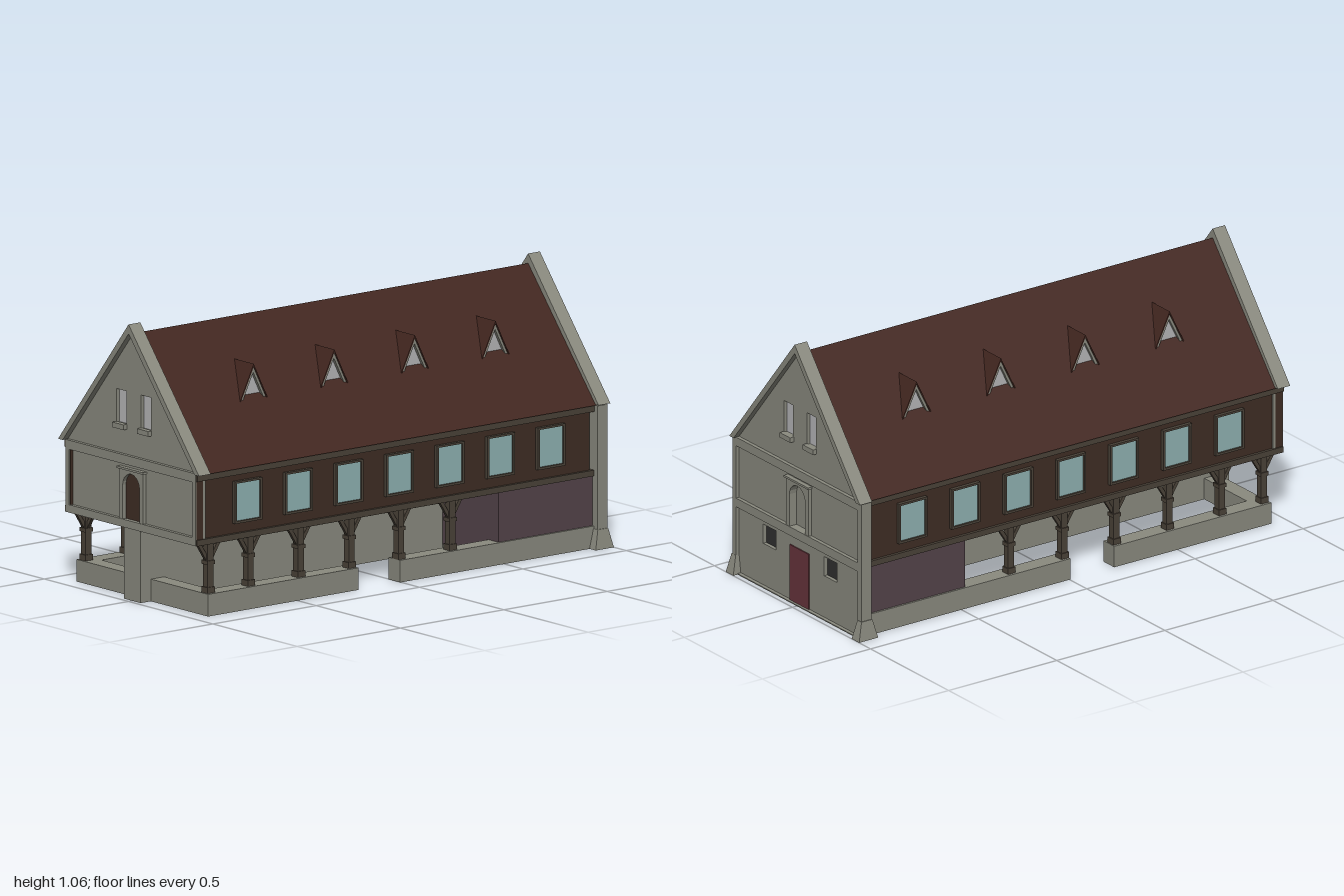
import * as THREE from 'three';

const mat = (color) => new THREE.MeshStandardMaterial({ color, flatShading: true });
const M = {
  stone: mat(0x8a8a7f), roof: mat(0x42261f), timber: mat(0x3f2d24), beam: mat(0x4a4238),
  glass: mat(0x8fb2b2), pale: mat(0xb6b6b8), dark: mat(0x303030), room: mat(0x54444a), door: mat(0x66343c),
};

function add(parent, name, geometry, material) {
  const mesh = new THREE.Mesh(geometry, material);
  mesh.name = name;
  parent.add(mesh);
  return mesh;
}

// box given by its min and max on each axis
function box(parent, name, material, x0, x1, y0, y1, z0, z1) {
  const m = add(parent, name, new THREE.BoxGeometry(Math.abs(x1 - x0), y1 - y0, Math.abs(z1 - z0)), material);
  m.position.set((x0 + x1) / 2, (y0 + y1) / 2, (z0 + z1) / 2);
  return m;
}

const poly = (pts) => pts.map(([x, y]) => new THREE.Vector2(x, y));
const rect = (x0, x1, y0, y1) => poly([[x0, y0], [x1, y0], [x1, y1], [x0, y1]]);
const tri = (w, y0, y1) => poly([[-w, y0], [w, y0], [0, y1]]);

// outline with holes, extruded from z = a to z = b
function slabZ(outline, holes, a, b) {
  const shape = new THREE.Shape(outline);
  holes.forEach((h) => shape.holes.push(new THREE.Path(h)));
  const g = new THREE.ExtrudeGeometry(shape, { depth: b - a, bevelEnabled: false });
  return g.translate(0, 0, a);
}
// the same along x; outlines are drawn as (z, y) and symmetric about z = 0
const slabX = (outline, holes, a, b) => slabZ(outline, holes, a, b).rotateY(Math.PI / 2);

// round-headed opening
function arch(w, y0, spring) {
  const pts = [[-w, y0], [w, y0]];
  for (let i = 0; i <= 10; i++) {
    const t = (i / 10) * Math.PI;
    pts.push([w * Math.cos(t), spring + w * Math.sin(t)]);
  }
  return poly(pts);
}

// square bar between two points
function bar(parent, name, a, b, size) {
  const p = new THREE.Vector3(...a), q = new THREE.Vector3(...b);
  const m = add(parent, name, new THREE.BoxGeometry(size, p.distanceTo(q), size), M.beam);
  m.position.copy(p).add(q).multiplyScalar(0.5);
  m.quaternion.setFromUnitVectors(new THREE.Vector3(0, 1, 0), q.sub(p).normalize());
}

// stone gable facing +x; full reaches the ground, otherwise only the upper floors
function gable(full) {
  const g = new THREE.Group();
  const bottom = full ? 0 : 0.277, w = full ? 0.413 : 0.386;
  const outline = poly([[-w, bottom], [w, bottom], [w, 0.55], [0.4, 0.55], [0, 1.036], [-0.4, 0.55], [-w, 0.55]]);
  const windows = [[0.044, 0.103], [-0.103, -0.044]];
  const hatches = full ? [[0.155, 0.236], [-0.236, -0.155]] : [];
  const niche = arch(0.05, 0.307, 0.437);
  add(g, 'gableCore', slabX(outline, [], 0.933, 0.945), M.stone);
  add(g, 'gableFace', slabX(outline, [
    ...windows.map(([a, b]) => rect(a, b, 0.668, 0.797)),
    ...hatches.map(([a, b]) => rect(a, b, 0.172, 0.25)), niche,
  ], 0.945, 0.965), M.stone);

  // raised piers and string courses around the panels
  const e = full ? 0.39 : 0.365;
  const panels = [rect(-e, e, 0.307, 0.52)];
  if (full) panels.push(rect(-e, e, 0.004, 0.272));
  add(g, 'gableFrame', slabX(rect(-w, w, bottom, 0.555), panels, 0.965, 0.98), M.stone);
  add(g, 'nicheSurround', slabX(rect(-0.072, 0.072, 0.3, 0.5), [niche], 0.965, 0.978), M.stone);
  box(g, 'nicheCap', M.stone, 0.965, 0.984, 0.499, 0.507, -0.078, 0.078);

  // coping along both rakes
  add(g, 'coping', slabX(
    poly([[-0.418, 0.553], [-0.391, 0.553], [0, 1.028], [0.391, 0.553], [0.418, 0.553], [0, 1.064]]),
    [], 0.933, 0.99), M.stone);

  for (const [a, b] of windows) {
    box(g, 'gableWindow', M.pale, 0.945, 0.95, 0.668, 0.797, a, b);
    box(g, 'windowSill', M.stone, 0.96, 0.982, 0.65, 0.67, a - 0.004, b + 0.004);
  }
  for (const [a, b] of hatches) box(g, 'smallWindow', M.dark, 0.945, 0.95, 0.172, 0.25, a, b);

  if (full) {
    box(g, 'door', M.door, 0.95, 0.97, 0.002, 0.228, -0.06, 0.06);
    // flared pier feet
    for (const s of [1, -1]) {
      const geo = new THREE.BoxGeometry(0.05, 0.075, 0.026);
      const p = geo.attributes.position;
      for (let i = 0; i < p.count; i++) {
        if (p.getY(i) < 0) p.setXYZ(i, p.getX(i) * 1.76, p.getY(i), p.getZ(i) * 1.85);
      }
      geo.computeVertexNormals();
      add(g, 'pierFoot', geo, M.stone).position.set(0.956, 0.0375, s * 0.403);
    }
  }
  return g;
}

// triangular dormer facing +z or -z
function dormer(x, s) {
  const g = new THREE.Group();
  g.name = 'dormer';
  add(g, 'dormerRoof', slabZ(tri(0.072, 0.745, 0.893), [tri(0.064, 0.751, 0.882)], 0.06, 0.228), M.roof);
  add(g, 'dormerFrame', slabZ(tri(0.064, 0.751, 0.882), [tri(0.049, 0.76, 0.86)], 0.2, 0.225), M.stone);
  add(g, 'dormerPane', slabZ(tri(0.06, 0.752, 0.878), [], 0.2, 0.212), M.pale);
  g.position.x = x;
  if (s < 0) g.rotation.y = Math.PI;
  return g;
}

// arcade post with spreading braces
function post(x, s, corner) {
  const g = new THREE.Group();
  g.name = 'post';
  box(g, 'postShaft', M.beam, -0.014, 0.014, 0.085, 0.28, -0.014, 0.014);
  box(g, 'postBase', M.beam, -0.018, 0.018, 0.085, 0.108, -0.018, 0.018);
  box(g, 'postCollar', M.beam, -0.018, 0.018, 0.195, 0.21, -0.018, 0.018);
  for (const d of [1, -1]) bar(g, 'brace', [0, 0.2, 0], [d * 0.05, 0.28, 0], 0.014);
  if (corner) bar(g, 'brace', [0, 0.2, 0], [0, 0.28, -s * 0.05], 0.014);
  g.position.set(x, 0, s * 0.362);
  return g;
}

export function createModel() {
  const model = new THREE.Group();
  model.name = 'hall';

  const right = gable(true);
  right.name = 'rightGable';
  const left = gable(false);
  left.name = 'leftGable';
  left.rotation.y = Math.PI;
  left.position.x = -0.01;
  model.add(right, left);

  // main volumes
  add(model, 'roof', slabX(poly([[-0.402, 0.55], [0.402, 0.55], [0, 1.027]]), [], -0.945, 0.934), M.roof);
  box(model, 'upperFloor', M.timber, -0.986, 0.934, 0.29, 0.54, -0.38, 0.38).scale.x = 0.985;
  box(model, 'floorBeam', M.beam, -0.988, 0.934, 0.277, 0.3, -0.392, 0.392);
  box(model, 'ceiling', M.timber, -0.97, 0.48, 0.272, 0.278, -0.375, 0.375);
  box(model, 'eavesBeam', M.beam, -0.988, 0.934, 0.525, 0.553, -0.394, 0.394);
  box(model, 'groundRoom', M.room, 0.478, 0.934, 0.002, 0.278, -0.382, 0.382);
  box(model, 'middleWall', M.stone, -0.982, 0.48, 0, 0.275, -0.05, 0.05);
  box(model, 'roomFloor', M.stone, 0.478, 0.95, 0, 0.02, -0.384, 0.384);

  // both long sides
  for (const s of [1, -1]) {
    box(model, 'lowWall', M.stone, -0.933, -0.206, 0, 0.085, s * 0.322, s * 0.39);
    box(model, 'lowWall', M.stone, -0.004, 0.934, 0, 0.085, s * 0.322, s * 0.39);
    box(model, 'endLowWall', M.stone, -0.933, -0.868, 0, 0.085, s * 0.05, s * 0.323);
    box(model, 'cornerPost', M.timber, -0.986, -0.955, 0.3, 0.525, s * 0.36, s * 0.387);

    [-0.91, -0.715, -0.473, -0.227, 0.013, 0.26].forEach((x, i) => model.add(post(x, s, i === 0)));

    for (let i = 0; i < 7; i++) {
      const g = new THREE.Group();
      g.name = 'window';
      add(g, 'windowFrame', slabZ(rect(-0.066, 0.066, 0.338, 0.5), [rect(-0.057, 0.057, 0.347, 0.492)], -0.012, 0.012), M.beam);
      box(g, 'windowPane', M.glass, -0.06, 0.06, 0.342, 0.496, -0.004, 0.004);
      g.position.set(-0.74 + i * 0.2443, 0, s * 0.383);
      model.add(g);
    }
    for (let i = 0; i < 4; i++) model.add(dormer(-0.58 + i * 0.39, s));
  }
  return model;
}
